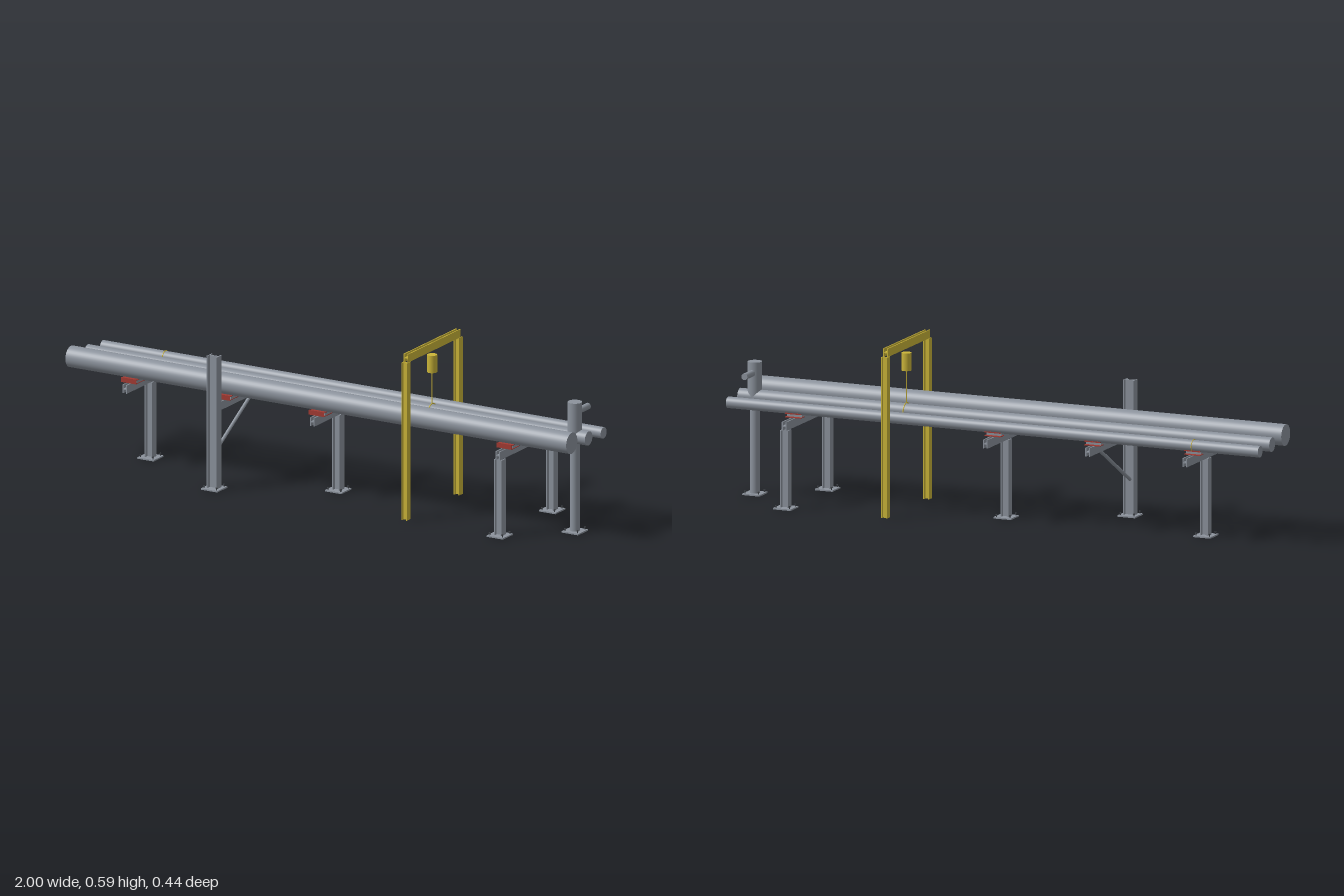
import * as THREE from 'three';

const mat = (name, color) => {
  const m = new THREE.MeshStandardMaterial({ color });
  m.name = name;
  return m;
};

export function createModel() {
  const steel = mat('steel grey', 0x8c939d);
  const yellow = mat('safety yellow', 0xcbb538);
  const red = mat('oxide red', 0xa23a32);
  const dark = mat('dark bolt', 0x3f4348);

  const model = new THREE.Group();
  model.name = 'pipeRack';

  const mesh = (parent, name, geo, m, x, y, z) => {
    const o = new THREE.Mesh(geo, m);
    o.name = name;
    o.position.set(x, y, z);
    parent.add(o);
    return o;
  };
  const box = (p, name, m, w, h, d, x, y, z) =>
    mesh(p, name, new THREE.BoxGeometry(w, h, d), m, x, y, z);
  const group = (parent, name, x = 0, y = 0, z = 0) => {
    const g = new THREE.Group();
    g.name = name;
    g.position.set(x, y, z);
    parent.add(g);
    return g;
  };
  // Round bar between two points
  const rod = (p, name, m, r, a, b, seg = 32) => {
    const A = new THREE.Vector3(...a), B = new THREE.Vector3(...b);
    const dir = B.clone().sub(A);
    const mid = A.clone().add(B).multiplyScalar(0.5);
    const o = mesh(p, name, new THREE.CylinderGeometry(r, r, dir.length(), seg), m, mid.x, mid.y, mid.z);
    o.quaternion.setFromUnitVectors(new THREE.Vector3(0, 1, 0), dir.normalize());
    return o;
  };

  // H-section column: flanges face +x and -x, web between them
  const column = (name, m, x, z, y0, y1, depth, width, t = 0.004) => {
    const g = group(model, name, x, (y0 + y1) / 2, z);
    for (const s of [-1, 1]) box(g, 'flange', m, t, y1 - y0, width, s * (depth - t) / 2, 0, 0);
    box(g, 'web', m, depth - 2 * t, y1 - y0, t, 0, 0, 0);
  };
  // H-section beam along z
  const beam = (name, m, x, z0, z1, y0, y1, depth, t = 0.004) => {
    const g = group(model, name, x, (y0 + y1) / 2, (z0 + z1) / 2);
    const len = Math.abs(z1 - z0);
    for (const s of [-1, 1]) box(g, 'flange', m, t, y1 - y0, len, s * (depth - t) / 2, 0, 0);
    box(g, 'web', m, depth - 2 * t, t, len, 0, 0, 0);
  };
  // Base plate with four anchor bolts
  const basePlate = (x, z) => {
    const g = group(model, 'basePlate', x, 0, z);
    box(g, 'plate', steel, 0.066, 0.005, 0.066, 0, 0.0025, 0);
    for (const i of [-1, 1]) for (const j of [-1, 1]) {
      rod(g, 'bolt', dark, 0.0018, [i * 0.025, 0.004, j * 0.025], [i * 0.025, 0.015, j * 0.025], 8);
      rod(g, 'nut', dark, 0.0036, [i * 0.025, 0.011, j * 0.025], [i * 0.025, 0.0145, j * 0.025], 6);
    }
  };

  // Pipes along x
  const MID = -0.0125;
  const pipes = [
    { name: 'largePipe', z: 0.1, y: 0.354, r: 0.0375, shoe: 0.034, web: 0.046 },
    { name: 'middlePipe', z: MID, y: 0.342, r: 0.025, shoe: 0.023, web: 0.02 },
    { name: 'smallPipe', z: -0.1125, y: 0.336, r: 0.02, shoe: 0.015, web: 0.004 },
  ];
  for (const p of pipes) rod(model, p.name, steel, p.r, [-1, p.y, p.z], [1, p.y, p.z], 40);

  // Red pipe shoes on every support
  for (const x of [-0.75, -0.375, 0, 0.75]) for (const p of pipes) {
    const g = group(model, 'pipeShoe', x, 0.305, p.z);
    box(g, 'shoeBase', red, 0.06, 0.002, p.shoe * 2, 0, 0.001, 0);
    box(g, 'shoeTop', red, 0.06, 0.002, p.shoe * 2, 0, 0.0135, 0);
    box(g, 'shoeWeb', steel, 0.056, 0.0105, p.web, 0, 0.00725, 0);
    for (const s of [-1, 1])
      box(g, 'shoeGuide', red, 0.06, p.shoe > 0.02 ? 0.017 : 0.004, 0.002, 0, p.shoe > 0.02 ? 0.0085 : 0.0145, s * (p.shoe - 0.001));
  }

  // T-shaped supports
  for (const x of [-0.75, 0]) {
    basePlate(x, MID);
    column('tPost', steel, x, MID, 0.005, 0.275, 0.03, 0.031);
    beam('tBeam', steel, x, 0.16, -0.186, 0.275, 0.305, 0.018);
  }

  // Cantilever support with diagonal brace
  basePlate(-0.375, 0.189);
  column('cantileverPost', steel, -0.375, 0.189, 0.005, 0.477, 0.04, 0.032);
  beam('cantileverBeam', steel, -0.375, 0.187, -0.165, 0.275, 0.305, 0.018);
  rod(model, 'brace', steel, 0.006, [-0.375, 0.128, 0.187], [-0.375, 0.276, -0.062], 12);

  // Portal support
  for (const z of [0.1625, -0.1865]) {
    basePlate(0.75, z);
    column('portalPost', steel, 0.75, z, 0.005, 0.275, 0.03, 0.03);
  }
  beam('portalBeam', steel, 0.75, 0.1755, -0.2, 0.275, 0.305, 0.018);

  // Yellow gantry, hoist, chain and sling
  for (const z of [0.1625, -0.187])
    column('gantryPost', yellow, 0.375, z, 0, 0.563, 0.022, 0.025, 0.0035);
  beam('gantryBeam', yellow, 0.375, 0.1625, -0.187, 0.563, 0.592, 0.018, 0.0035);
  rod(model, 'hoist', yellow, 0.0175, [0.375, 0.483, MID], [0.375, 0.545, MID]);
  rod(model, 'hoistChain', yellow, 0.0015, [0.375, 0.37, MID], [0.375, 0.484, MID], 8);
  const ring = (name, x, y, z, r, t) => {
    mesh(model, name, new THREE.TorusGeometry(r, t, 8, 40), yellow, x, y, z).rotation.y = Math.PI / 2;
  };
  ring('sling', 0.375, 0.342, MID, 0.0275, 0.002);
  ring('pipeClamp', -0.75, 0.336, -0.1125, 0.021, 0.0015);

  // Riser with side branch
  basePlate(0.945, MID);
  rod(model, 'riserPost', steel, 0.017, [0.945, 0.005, MID], [0.945, 0.33, MID]);
  rod(model, 'riser', steel, 0.025, [0.945, 0.342, MID], [0.945, 0.465, MID]);
  rod(model, 'riserBranch', steel, 0.0115, [0.945, 0.427, MID], [0.945, 0.427, -0.1]);

  return model;
}
